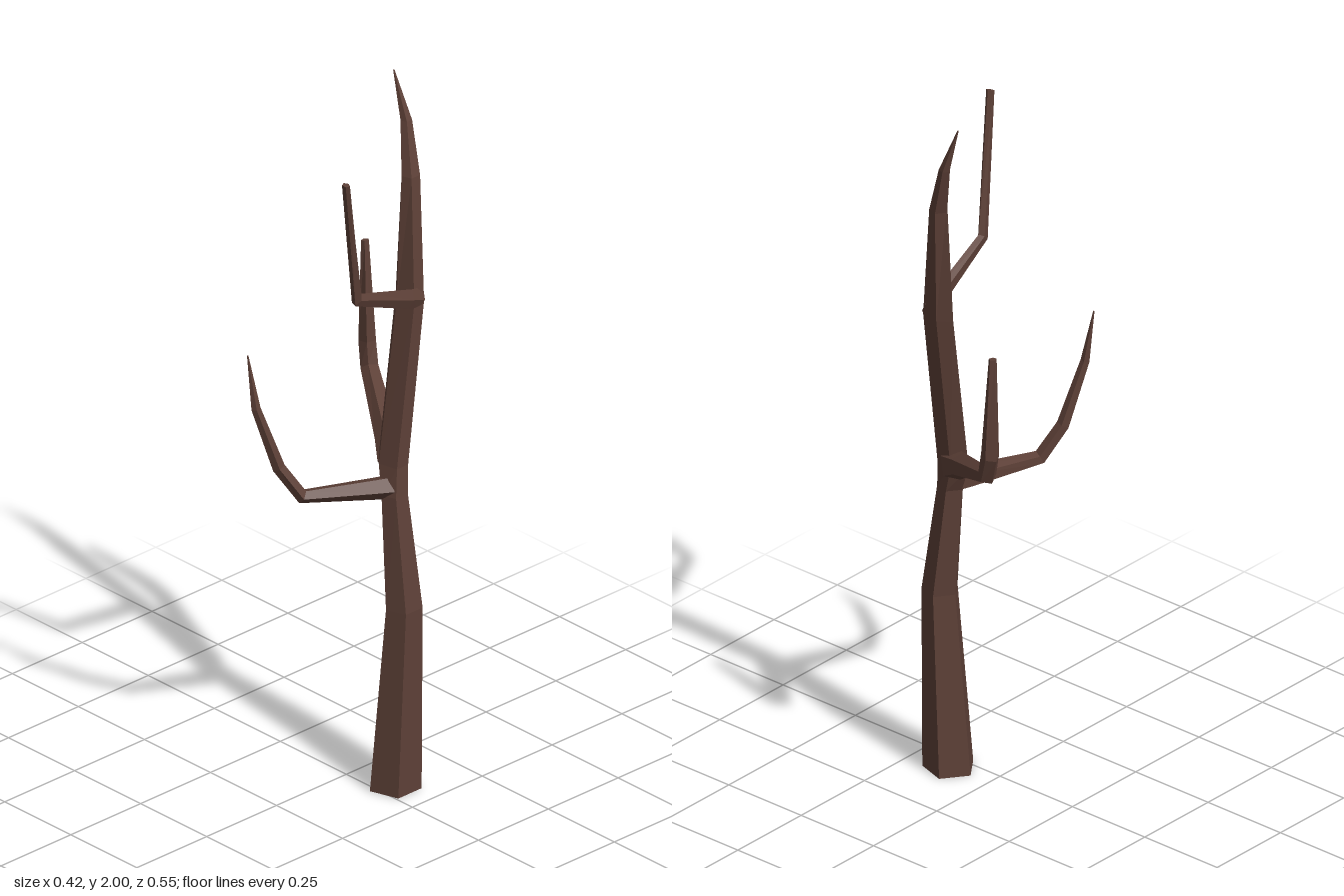
import * as THREE from 'three';

const bark = new THREE.MeshStandardMaterial({ color: 0x5d4037, flatShading: true });
bark.name = 'brown bark';

const SIDES = 5;

// Sweeps a five-sided ring along rows of [x, y, z, width radius, depth radius].
// A level limb keeps its rings horizontal; otherwise they follow the path.
function limb(name, rows, level = false) {
  const pts = rows.map(r => new THREE.Vector3(r[0], r[1], r[2]));
  const last = pts.length - 1;
  const up = new THREE.Vector3(0, 1, 0);
  const side = level
    ? new THREE.Vector3(1, 0, 0)
    : pts[last].clone().sub(pts[0]).setY(0).cross(up).normalize();

  const rings = pts.map((p, i) => {
    let t = up.clone();
    if (!level) {
      const into = p.clone().sub(pts[Math.max(i - 1, 0)]).normalize();
      const out = pts[Math.min(i + 1, last)].clone().sub(p).normalize();
      t = into.add(out).normalize();
    }
    const s = side.clone().addScaledVector(t, -side.dot(t)).normalize();
    const n = t.clone().cross(s);
    return Array.from({ length: SIDES }, (_, j) => {
      const a = Math.PI * (0.2 + 2 * j / SIDES);
      return p.clone()
        .addScaledVector(s, Math.cos(a) * rows[i][3])
        .addScaledVector(n, Math.sin(a) * rows[i][4]);
    });
  });

  const tris = [];
  for (let j = 0; j < SIDES; j++) {
    const k = (j + 1) % SIDES;
    for (let i = 0; i < last; i++) {
      const a = rings[i][j], b = rings[i][k], c = rings[i + 1][k], d = rings[i + 1][j];
      tris.push(a, b, c, a, c, d);
    }
    // End caps
    tris.push(pts[0], rings[0][k], rings[0][j]);
    tris.push(pts[last], rings[last][j], rings[last][k]);
  }
  const geo = new THREE.BufferGeometry().setFromPoints(tris);
  geo.computeVertexNormals();
  const mesh = new THREE.Mesh(geo, bark);
  mesh.name = name;
  return mesh;
}

export function createModel() {
  const tree = new THREE.Group();
  tree.name = 'bareTree';

  // Trunk, bending to a pointed crown
  tree.add(limb('trunk', [
    [0.132, 0, -0.048, 0.072, 0.071],
    [0.148, 0.53, -0.065, 0.05, 0.051],
    [0.111, 0.85, -0.066, 0.037, 0.036],
    [0.092, 0.93, -0.076, 0.05, 0.034],
    [0.09, 1.39, -0.138, 0.049, 0.03],
    [0.06, 1.73, -0.173, 0.025, 0.026],
    [0.022, 1.87, -0.193, 0.016, 0.016],
    [-0.021, 2, -0.19, 0.002, 0.002],
  ], true));

  // Back branch, turning sharply upward
  tree.add(limb('backBranch', [
    [0.085, 0.93, -0.085, 0.04, 0.045],
    [0.03, 0.96, -0.118, 0.033, 0.034],
    [-0.165, 1.05, -0.24, 0.025, 0.025],
    [-0.185, 1.12, -0.25, 0.024, 0.03],
    [-0.193, 1.41, -0.25, 0.011, 0.008],
  ]));

  // Front branch, curving up to a sharp tip
  tree.add(limb('frontBranch', [
    [0.105, 0.868, -0.06, 0.034, 0.033],
    [0.085, 0.869, -0.02, 0.031, 0.03],
    [0.002, 0.88, 0.16, 0.02, 0.02],
    [-0.035, 0.97, 0.21, 0.018, 0.018],
    [-0.066, 1.15, 0.262, 0.012, 0.013],
    [-0.088, 1.3, 0.27, 0.002, 0.002],
  ]));

  // Slender upper branch
  tree.add(limb('upperBranch', [
    [0.115, 1.395, -0.15, 0.02, 0.034],
    [0.125, 1.413, -0.105, 0.017, 0.028],
    [0.155, 1.5, 0.108, 0.013, 0.02],
    [0.2, 1.885, 0.19, 0.012, 0.008],
  ]));

  return tree;
}
